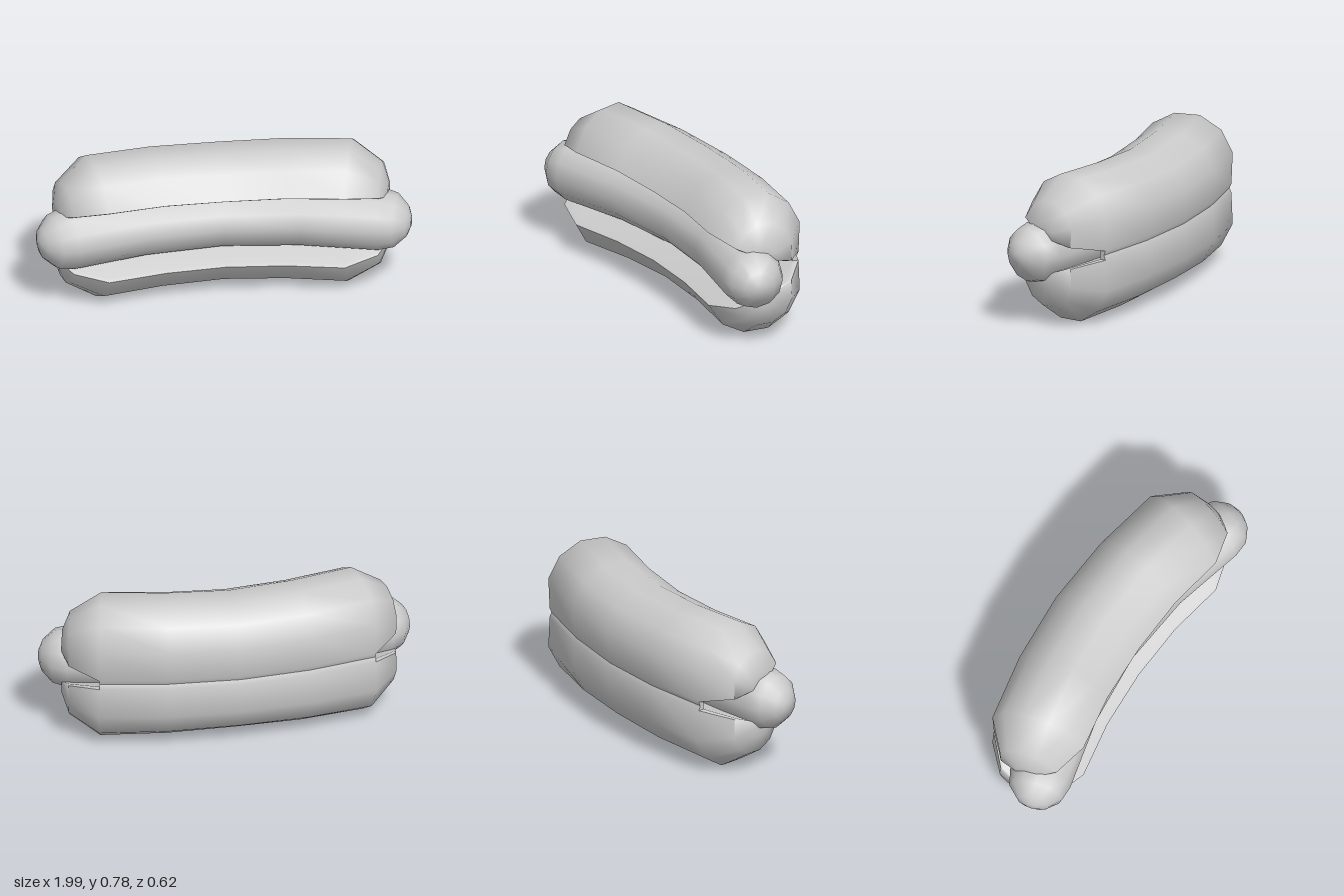
import * as THREE from 'three';
import { toCreasedNormals } from 'three/addons/utils/BufferGeometryUtils.js';

const MID_Y = 0.395;
const material = new THREE.MeshStandardMaterial({ color: 0xcccccc });

// Skins a row of rings (running from -x to +x) and closes both ends with fans.
function loft(rings, crease) {
  const n = rings[0].length;
  const points = rings.flat();
  const index = [];
  for (let i = 0; i < rings.length - 1; i++) {
    for (let j = 0; j < n; j++) {
      const k = (j + 1) % n;
      const a = i * n + j, b = i * n + k;
      index.push(a, a + n, b, b, a + n, b + n);
    }
  }
  [0, rings.length - 1].forEach((r) => {
    const centre = new THREE.Vector3();
    rings[r].forEach((p) => centre.addScaledVector(p, 1 / n));
    const c = points.push(centre) - 1;
    for (let j = 0; j < n; j++) {
      const a = r * n + j, b = r * n + (j + 1) % n;
      index.push(c, r ? b : a, r ? a : b);
    }
  });
  const geometry = new THREE.BufferGeometry().setFromPoints(points);
  geometry.setIndex(index);
  geometry.computeVertexNormals();
  return crease ? toCreasedNormals(geometry, crease) : geometry;
}

// Places section points (u forward, v up) square to the curve z = z0 + bend * x * x,
// pushed "out" along its tangent for the rounded ends.
function place(section, z0, bend, x, out = 0) {
  const angle = Math.atan(2 * bend * x);
  const c = Math.cos(angle), s = Math.sin(angle);
  return section.map(([u, v]) => new THREE.Vector3(
    x + out * c - u * s, MID_Y + v, z0 + bend * x * x + out * s + u * c));
}

// One half of the bun: front lip, over the top, down to the hinge, back along the cut.
const bunSection = [
  [0.258, 0.208], [0.18, 0.33], [0.062, 0.392], [-0.075, 0.388], [-0.19, 0.315],
  [-0.252, 0.195], [-0.245, 0.025], [-0.235, 0], [-0.212, 0], [-0.212, 0.026],
  [0.02, 0.113], [0.235, 0.193],
];

function bunHalf(name, side) {
  const scaled = (k) => bunSection.map(([u, v]) =>
    [0.02 + (u - 0.02) * k, 0.112 + (Math.max(v, 0.025) - 0.112) * k]);
  const rings = [];
  const add = (section, x, out) => {
    const ring = place(section.map(([u, v]) => [u, v * side]), -0.06, 0.18, x, out);
    rings.push(side > 0 ? ring : ring.reverse());
  };
  const end = 0.685;
  // Left rounded end, then the hinged body, then the other end
  add(scaled(0.25), -end, -0.205);
  add(scaled(0.62), -end, -0.165);
  add(scaled(1), -end, 0);
  for (const x of [-end, -0.35, 0, 0.35, end]) {
    const t = 1 - Math.abs(x) / end;
    add(bunSection.map(([u, v]) => [u * (1 + 0.03 * t), v * (1 - 0.05 * t)]), x, 0);
  }
  add(scaled(1), end, 0);
  add(scaled(0.62), end, 0.165);
  add(scaled(0.25), end, 0.205);
  const mesh = new THREE.Mesh(loft(rings, 1.0), material);
  mesh.name = name;
  return mesh;
}

// Bent sausage with twelve sides and domed ends
function sausage() {
  const circle = (r) => Array.from({ length: 12 }, (_, i) => {
    const a = i * Math.PI / 6;
    return [r * Math.cos(a), r * Math.sin(a)];
  });
  const end = 0.83, radius = 0.166;
  const dome = [80, 60, 30];
  const rings = [];
  const addDome = (deg, side) => {
    const a = deg * Math.PI / 180;
    rings.push(place(circle(radius * Math.cos(a)), 0.012, 0.185, side * end,
      side * radius * Math.sin(a)));
  };
  dome.forEach((d) => addDome(d, -1));
  for (const x of [-end, -0.42, 0, 0.42, end]) {
    rings.push(place(circle(0.155 + 0.011 * Math.abs(x) / end), 0.012, 0.185, x));
  }
  [...dome].reverse().forEach((d) => addDome(d, 1));
  const mesh = new THREE.Mesh(loft(rings), material);
  mesh.name = 'sausage';
  return mesh;
}

export function createModel() {
  const model = new THREE.Group();
  model.name = 'hotDog';
  model.add(bunHalf('upperBun', 1), bunHalf('lowerBun', -1), sausage());
  return model;
}
